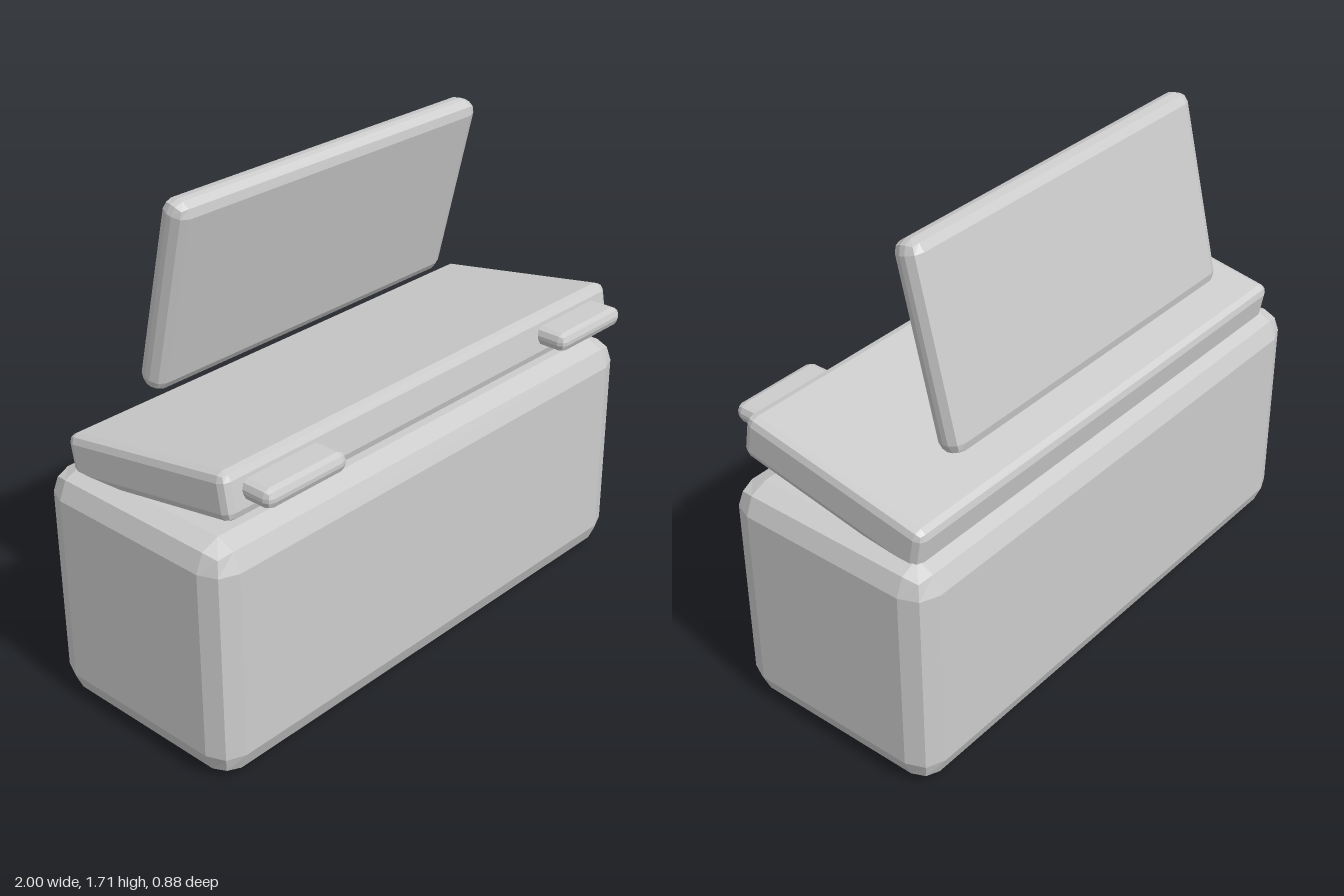
import * as THREE from 'three';
import { RoundedBoxGeometry } from 'three/addons/geometries/RoundedBoxGeometry.js';

const grey = new THREE.MeshStandardMaterial({ color: 0xcccccc, flatShading: true });
grey.name = 'lightGrey';

// Box with two-facet bevelled edges, tilted about x
function bevelBox(name, [w, h, d], radius, [x, y, z], tilt = 0) {
  const mesh = new THREE.Mesh(new RoundedBoxGeometry(w, h, d, 1, radius), grey);
  mesh.name = name;
  mesh.position.set(x, y, z);
  mesh.rotation.x = tilt;
  return mesh;
}

export function createModel() {
  const model = new THREE.Group();
  model.name = 'boxWithScreen';

  // Main body
  model.add(bevelBox('body', [2, 0.84, 0.8], 0.09, [0, 0.42, -0.038]));

  // Sloping lid, raised at the front
  model.add(bevelBox('lid', [1.86, 0.158, 0.72], 0.03, [0, 0.929, -0.02], -THREE.MathUtils.degToRad(10)));

  // Floating panel, leaning forward at the top
  model.add(bevelBox('panel', [1.37, 0.68, 0.1], 0.04, [0, 1.374, -0.2], 0.24));

  // Pair of front tabs
  for (const side of [1, -1]) {
    model.add(bevelBox(side > 0 ? 'leftTab' : 'rightTab', [0.335, 0.065, 0.14], 0.026, [side * 0.695, 0.995, 0.37]));
  }

  return model;
}
